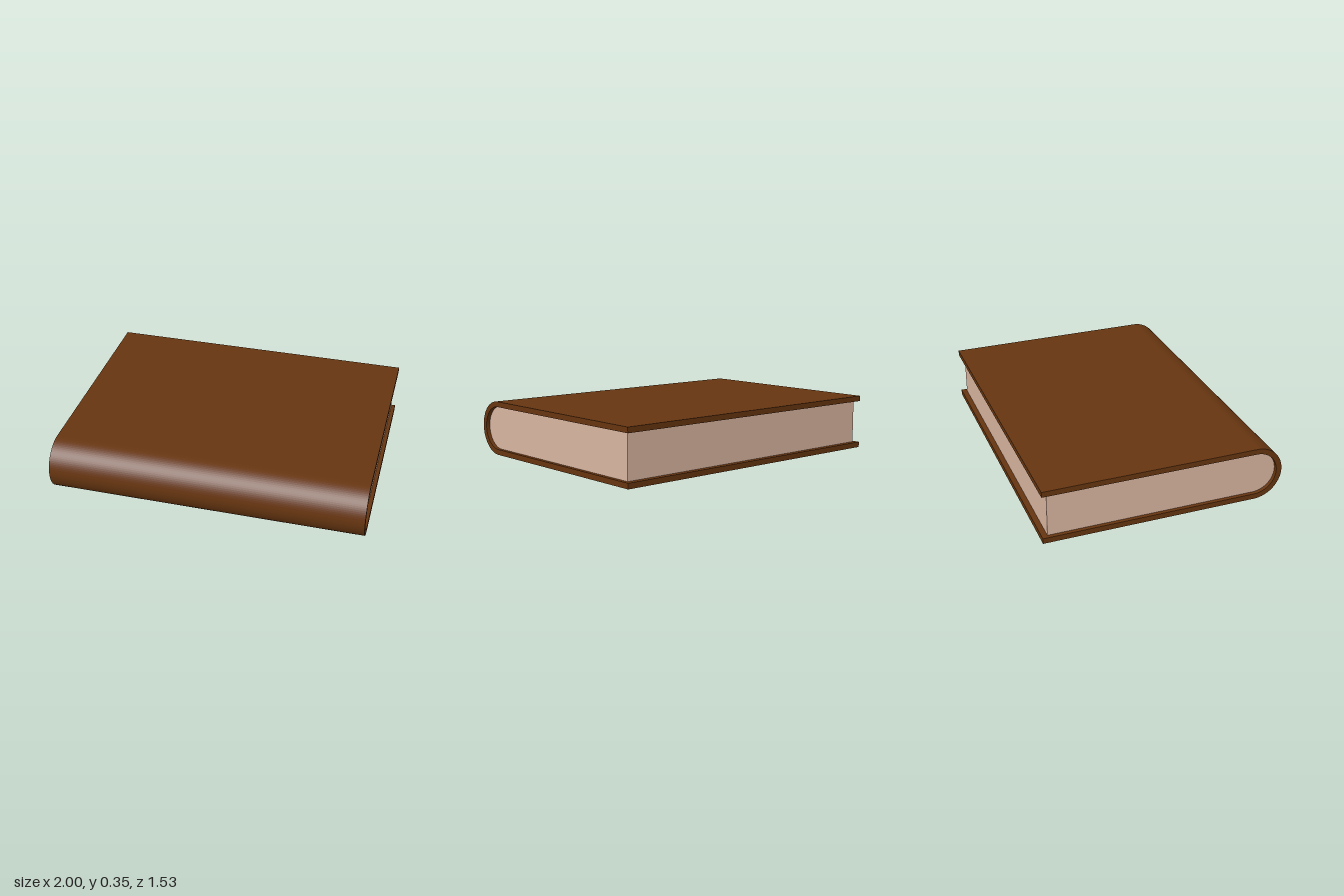
import * as THREE from 'three';

const R = 0.175;        // half the closed thickness, radius of the rounded spine
const BOARD = 0.035;    // cover thickness
const SPINE = -0.59;    // profile position of the spine arc centre
const EDGE = 0.765;     // open edge of the cover

// Extrudes a side profile along x, with the spine facing +z.
function extrudeAcross(shape, width, color, name) {
  const geometry = new THREE.ExtrudeGeometry(shape, { depth: width, bevelEnabled: false, curveSegments: 24 });
  geometry.translate(0, 0, -width / 2);
  geometry.rotateY(Math.PI / 2);
  const mesh = new THREE.Mesh(geometry, new THREE.MeshStandardMaterial({ color }));
  mesh.name = name;
  return mesh;
}

export function createModel() {
  const book = new THREE.Group();
  book.name = 'book';
  const inner = R - BOARD;

  // Cover: two boards joined by a half-round spine
  const cover = new THREE.Shape();
  cover.moveTo(EDGE, 2 * R);
  cover.lineTo(SPINE, 2 * R);
  cover.absarc(SPINE, R, R, Math.PI / 2, Math.PI * 1.5, false);
  cover.lineTo(EDGE, 0);
  cover.lineTo(EDGE, BOARD);
  cover.lineTo(SPINE, BOARD);
  cover.absarc(SPINE, R, inner, Math.PI * 1.5, Math.PI / 2, true);
  cover.lineTo(EDGE, 2 * R - BOARD);
  cover.closePath();
  book.add(extrudeAcross(cover, 2, 0x663510, 'cover'));

  // Page block: fills the cover, set back from its three open edges
  const pages = new THREE.Shape();
  pages.moveTo(EDGE - BOARD, R + inner);
  pages.lineTo(SPINE, R + inner);
  pages.absarc(SPINE, R, inner, Math.PI / 2, Math.PI * 1.5, false);
  pages.lineTo(EDGE - BOARD, R - inner);
  pages.closePath();
  book.add(extrudeAcross(pages, 1.95, 0xd9b5a0, 'pages'));

  return book;
}
